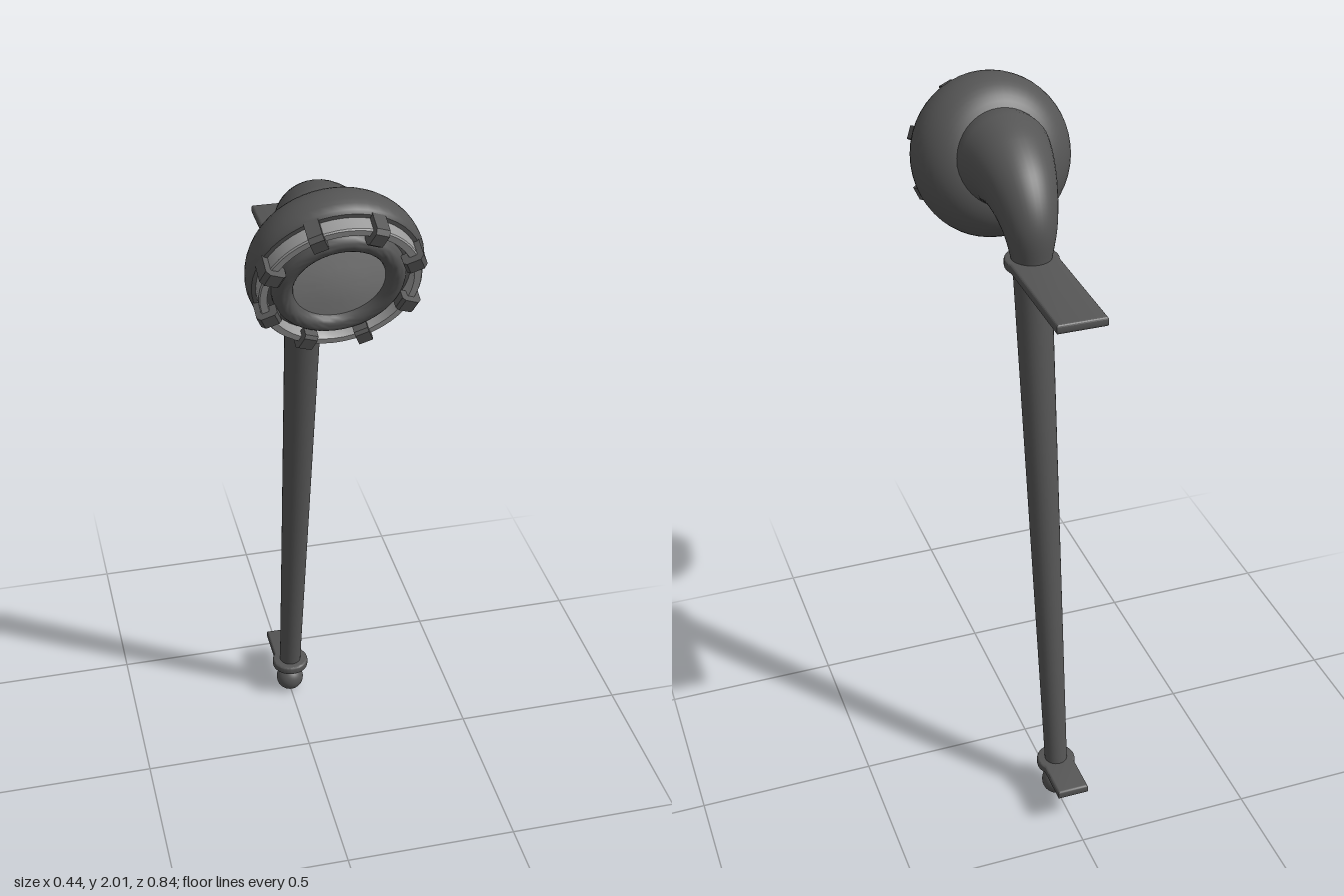
import * as THREE from 'three';
import { toCreasedNormals } from 'three/addons/utils/BufferGeometryUtils.js';

const dark = new THREE.MeshStandardMaterial({ color: 0x555555 });
const pale = new THREE.MeshStandardMaterial({ color: 0x999999 });

function add(parent, name, geometry, material = dark) {
  const mesh = new THREE.Mesh(geometry, material);
  mesh.name = name;
  parent.add(mesh);
  return mesh;
}

// Revolved profile given as [radius, height] pairs, lowest first
function lathe(points, crease = 0.6) {
  const profile = points.map(([r, y]) => new THREE.Vector2(r, y));
  return toCreasedNormals(new THREE.LatheGeometry(profile, 48), crease);
}

// Flat bracket: round nose around the pole, straight sides running to the back
function bracketGeometry(noseRadius, halfWidth, noseZ, backZ, y) {
  const bevel = 0.006, w = halfWidth - bevel, r = noseRadius - bevel;
  const a = Math.acos(w / r);
  const shape = new THREE.Shape();
  shape.moveTo(w, backZ + bevel);
  shape.lineTo(w, noseZ - r * Math.sin(a));
  shape.absarc(0, noseZ, r, -a, Math.PI + a, false);
  shape.lineTo(-w, backZ + bevel);
  shape.closePath();
  const geo = new THREE.ExtrudeGeometry(shape, {
    depth: 0.014, bevelEnabled: true, bevelSize: bevel, bevelThickness: bevel,
    bevelSegments: 3, curveSegments: 32,
  });
  geo.rotateX(Math.PI / 2);
  geo.translate(0, y + 0.007, 0);
  return toCreasedNormals(geo, 0.6);
}

// Tube whose radius follows a function of its length
function taperedTube(curve, radiusAt, segments, sides) {
  const geo = new THREE.TubeGeometry(curve, segments, 1, sides);
  const pos = geo.attributes.position, v = new THREE.Vector3();
  for (let i = 0; i < pos.count; i++) {
    const u = Math.floor(i / (sides + 1)) / segments;
    const c = curve.getPointAt(u);
    v.fromBufferAttribute(pos, i).sub(c).multiplyScalar(radiusAt(u)).add(c);
    pos.setXYZ(i, v.x, v.y, v.z);
  }
  geo.computeVertexNormals();
  // average the normals across the tube's seam
  const n = geo.attributes.normal, b = new THREE.Vector3();
  for (let i = 0; i < pos.count; i += sides + 1) {
    v.fromBufferAttribute(n, i).add(b.fromBufferAttribute(n, i + sides)).normalize();
    n.setXYZ(i, v.x, v.y, v.z);
    n.setXYZ(i + sides, v.x, v.y, v.z);
  }
  return geo;
}

function createHead() {
  const head = new THREE.Group();
  head.name = 'lampHead';

  // Rounded housing, its front edge turned in
  const bowl = [[0, -0.215], [0.09, -0.21]];
  for (let i = 0; i <= 12; i++) {
    const a = (i / 12) * Math.PI / 2;
    bowl.push([0.09 + 0.13 * Math.sin(a), -0.08 - 0.13 * Math.cos(a)]);
  }
  bowl.push([0.217, -0.062], [0.21, -0.054], [0.19, -0.052]);
  add(head, 'housing', lathe(bowl));

  // Pale band around the front
  add(head, 'rimBand', lathe([
    [0.2, -0.07], [0.2, -0.018], [0.197, -0.014], [0.18, -0.014], [0.178, -0.018], [0.178, -0.05],
  ]), pale);

  // Rounded bezel and lens
  const bezel = [[0.18, -0.045], [0.165, -0.043]];
  for (let i = 0; i <= 12; i++) {
    const a = (i / 12) * Math.PI;
    bezel.push([0.139 + 0.026 * Math.cos(a), -0.04 + 0.028 * Math.sin(a)]);
  }
  bezel.push([0.113, -0.06]);
  add(head, 'bezel', lathe(bezel));
  add(head, 'lens', lathe([[0.118, -0.034], [0.06, -0.029], [0, -0.027]]), pale);

  // Eight hooked clips over the band
  const hook = new THREE.Shape([
    [0.16, -0.03], [0.196, -0.03], [0.196, -0.075], [0.213, -0.075],
    [0.213, -0.008], [0.203, 0.003], [0.168, 0.003], [0.16, -0.004],
  ].map(([x, y]) => new THREE.Vector2(x, y)));
  const clipGeo = new THREE.ExtrudeGeometry(hook, { depth: 0.036, bevelEnabled: false });
  clipGeo.translate(0, 0, -0.018);
  for (let i = 0; i < 8; i++) {
    add(head, 'clip', clipGeo).rotation.y = (i + 0.5) * Math.PI / 4;
  }

  // Tilted so the face looks forward and slightly down
  head.position.set(0, 1.77, 0.352);
  head.rotation.x = THREE.MathUtils.degToRad(110);
  return head;
}

export function createModel() {
  const model = new THREE.Group();
  model.name = 'wallLamp';

  // Leaning, tapered pole
  const bottom = new THREE.Vector3(0, 0.1, -0.275);
  const top = new THREE.Vector3(0, 1.64, -0.052);
  const axis = top.clone().sub(bottom);
  const pole = add(model, 'pole', new THREE.CylinderGeometry(0.051, 0.032, axis.length(), 32));
  pole.position.copy(bottom).add(top).multiplyScalar(0.5);
  pole.quaternion.setFromUnitVectors(new THREE.Vector3(0, 1, 0), axis.normalize());

  // Flaring elbow into the head
  const bend = new THREE.CatmullRomCurve3([
    [1.63, -0.053], [1.73, -0.036], [1.795, 0.02], [1.825, 0.09], [1.83, 0.16], [1.82, 0.215],
  ].map(([y, z]) => new THREE.Vector3(0, y, z)));
  const flare = (u) => 0.051 + 0.079 * Math.min(1, u / 0.85) ** 1.1;
  add(model, 'elbow', taperedTube(bend, flare, 40, 40));

  model.add(createHead());

  // Wall brackets
  add(model, 'upperBracket', bracketGeometry(0.072, 0.067, -0.052, -0.418, 1.635));
  add(model, 'lowerBracket', bracketGeometry(0.055, 0.045, -0.272, -0.418, 0.111));

  // Ball finial on a short neck
  add(model, 'finialNeck', new THREE.CylinderGeometry(0.027, 0.024, 0.05, 24)).position.set(0, 0.09, -0.276);
  add(model, 'finialBall', new THREE.SphereGeometry(0.042, 32, 20)).position.set(0, 0.042, -0.278);

  return model;
}
